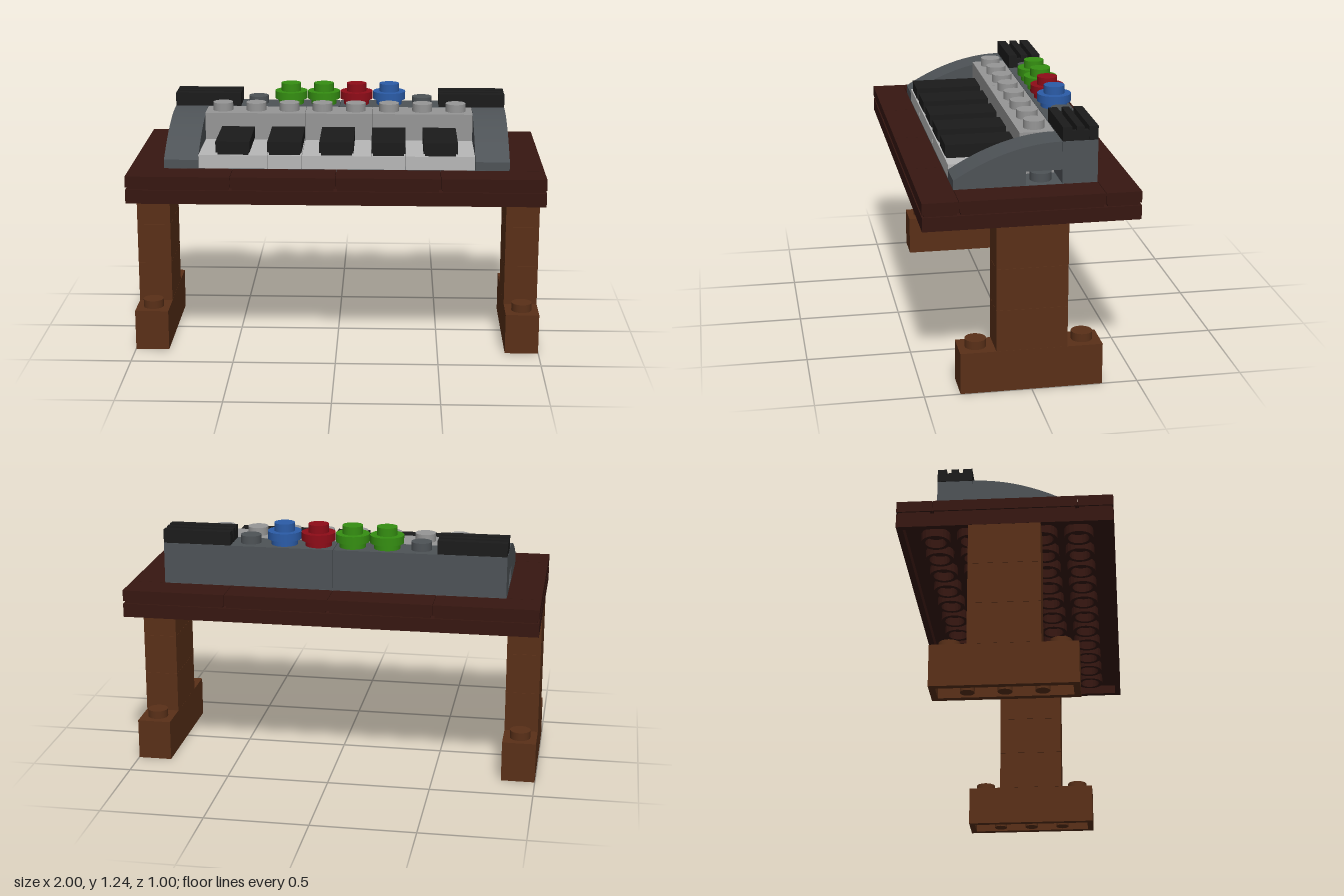
import * as THREE from 'three';

const U = 1 / 6;      // stud pitch
const P = 1 / 15;     // plate height
const B = 0.2;        // brick height
const GAP = 0.002;    // hairline seam between pieces
const DECK = 0.8;     // underside of the table top
const TOP = DECK + 2 * P;

const mat = (color) => new THREE.MeshStandardMaterial({ color, roughness: 0.6 });
const MAT = {
  brown: mat(0x5a3018), darkBrown: mat(0x371711), darkGrey: mat(0x4e5357), grey: mat(0x969696),
  lightGrey: mat(0xb8b8b8), black: mat(0x1b1b1b), green: mat(0x358f12), red: mat(0x8f0c18), blue: mat(0x2b5ca8),
};

const studGeo = new THREE.CylinderGeometry(0.05, 0.05, 0.04, 24);

function add(parent, name, geo, material, x = 0, y = 0, z = 0) {
  const m = new THREE.Mesh(geo, material);
  m.name = name;
  m.position.set(x, y, z);
  parent.add(m);
  return m;
}

// Block given by its x, y and z ranges
function block(parent, name, material, [x0, x1], [y0, y1], [z0, z1]) {
  return add(parent, name, new THREE.BoxGeometry(x1 - x0 - GAP, y1 - y0 - GAP / 2, z1 - z0 - GAP),
    material, (x0 + x1) / 2, (y0 + y1) / 2, (z0 + z1) / 2);
}

// Flat tile with a thin groove round its foot
function tile(parent, name, material, xr, y, zr) {
  const g = new THREE.Group();
  g.name = name;
  const i = 0.008;
  block(g, 'foot', material, [xr[0] + i, xr[1] - i], [y, y + 0.014], [zr[0] + i, zr[1] - i]);
  block(g, 'slab', material, xr, [y + 0.013, y + P], zr);
  parent.add(g);
}

const stud = (parent, material, x, y, z) => add(parent, 'stud', studGeo, material, x, y + 0.02, z);

function rect(w, d) {
  return [[-w, -d], [w, -d], [w, d], [-w, d]].map(([x, y]) => new THREE.Vector2(x / 2, y / 2));
}

function upright(shape, height) {
  return new THREE.ExtrudeGeometry(shape, { depth: height, bevelEnabled: false, curveSegments: 10 }).rotateX(-Math.PI / 2);
}

// Open-bottomed piece: four walls and a roof
function hollow(parent, name, material, w, h, d, wall, roof, x, y) {
  const s = new THREE.Shape(rect(w - GAP, d - GAP));
  s.holes.push(new THREE.Path(rect(w - 2 * wall, d - 2 * wall)));
  add(parent, name + 'Walls', upright(s, h - roof), material, x, y, 0);
  add(parent, name + 'Roof', new THREE.BoxGeometry(w - GAP, roof, d - GAP), material, x, y + h - roof / 2, 0);
}

function buildLeg(side) {
  const g = new THREE.Group();
  g.name = side > 0 ? 'leftLeg' : 'rightLeg';
  const x = side * 5.5 * U;
  hollow(g, 'foot', MAT.brown, U, B, 4 * U, 0.03, 0.03, x, 0);
  for (const k of [-1, 0, 1])
    add(g, 'footPin', new THREE.CylinderGeometry(0.033, 0.033, B - 0.03, 16), MAT.brown, x, (B - 0.03) / 2, k * U);
  for (const k of [-1, 1]) stud(g, MAT.brown, x, B, k * 1.5 * U);
  for (let i = 1; i < 4; i++)
    block(g, 'column', MAT.brown, [x - U / 2, x + U / 2], [i * B, (i + 1) * B], [-U, U]);
  return g;
}

function buildTable() {
  const g = new THREE.Group();
  g.name = 'tableTop';
  hollow(g, 'deck', MAT.darkBrown, 2, P, 1, 0.03, 0.02, 0, DECK);
  // Tubes under the deck
  const ring = new THREE.Shape().absarc(0, 0, 0.068, 0, Math.PI * 2);
  ring.holes.push(new THREE.Path().absarc(0, 0, 0.05, 0, Math.PI * 2, true));
  const ringGeo = upright(ring, P - 0.02);
  for (let i = -5; i <= 5; i++)
    for (let j = -2; j <= 2; j++) add(g, 'deckTube', ringGeo, MAT.darkBrown, i * U, DECK + 0.003, j * U);
  // Border tiles
  for (const s of [-1, 1]) {
    const zr = s > 0 ? [2 * U, 3 * U] : [-3 * U, -2 * U];
    for (let i = 0; i < 4; i++) tile(g, 'longEdgeTile', MAT.darkBrown, [-1 + i / 2, -0.5 + i / 2], DECK + P, zr);
    tile(g, 'endEdgeTile', MAT.darkBrown, s > 0 ? [5 * U, 1] : [-1, -5 * U], DECK + P, [-2 * U, 2 * U]);
  }
  return g;
}

// Curved end cheek with a notch under its back
function buildCheek(side) {
  const g = new THREE.Group();
  g.name = side > 0 ? 'leftCheek' : 'rightCheek';
  const s = new THREE.Shape();
  s.moveTo(-2 * U, TOP);
  s.lineTo(0, TOP);
  s.lineTo(0, TOP + P);
  s.lineTo(U, TOP + P);
  s.lineTo(U, TOP + B);
  s.quadraticCurveTo(-0.08, TOP + B, -2 * U, TOP + 0.042);
  const geo = new THREE.ExtrudeGeometry(s, { depth: U - GAP, bevelEnabled: false, curveSegments: 20 });
  geo.rotateY(Math.PI / 2);
  add(g, 'curve', geo, MAT.darkGrey, side * 4.5 * U - U / 2 + GAP / 2, 0, 0);
  stud(g, MAT.darkGrey, side * 4.5 * U, TOP, -U / 2);
  return g;
}

// Slotted black vent
function buildGrille(side) {
  const g = new THREE.Group();
  g.name = side > 0 ? 'leftGrille' : 'rightGrille';
  const y = TOP + B, x = side * 4 * U, z = -1.5 * U;
  const xr = [x - U, x + U];
  for (const k of [-1, 0, 1]) {
    const half = k ? 0.0225 : 0.0185, c = z + k * 0.0608;
    block(g, 'slat', MAT.black, xr, [y, y + P], [c - half, c + half]);
  }
  for (const k of [-1, 1]) {
    const c = x + k * (U - 0.015);
    block(g, 'bridge', MAT.black, [c - 0.014, c + 0.014], [y, y + 0.047], [z - 0.08, z + 0.08]);
  }
  return g;
}

// Round knob: narrow foot, wide flange, stud
function buildKnob(name, material, x) {
  const g = new THREE.Group();
  g.name = name;
  const y = TOP + B, z = -1.5 * U;
  add(g, 'foot', new THREE.CylinderGeometry(0.064, 0.064, 0.03, 24), material, x, y + 0.015, z);
  add(g, 'flange', new THREE.CylinderGeometry(0.082, 0.082, P - 0.028, 28), material, x, y + (P + 0.028) / 2, z);
  stud(g, material, x, y + P, z);
  return g;
}

function buildKeyboard() {
  const g = new THREE.Group();
  g.name = 'keyboard';
  block(g, 'basePlate', MAT.darkGrey, [-5 * U, 5 * U], [DECK + P, TOP], [-2 * U, 2 * U]);
  // Back wall
  for (const x of [-5 * U, 0]) block(g, 'backWall', MAT.darkGrey, [x, x + 5 * U], [TOP, TOP + B], [-2 * U, -U]);
  for (const s of [-1, 1]) {
    stud(g, MAT.darkGrey, s * 2.5 * U, TOP + B, -1.5 * U);
    g.add(buildCheek(s), buildGrille(s));
  }
  // Studded panel behind the keys
  for (const [a, b] of [[-4, -1], [-1, 1], [1, 4]])
    block(g, 'panel', MAT.grey, [a * U, b * U], [TOP, TOP + B], [-U, 0]);
  for (let i = -4; i < 4; i++) stud(g, MAT.grey, (i + 0.5) * U, TOP + B, -U / 2);
  // Pale keys, then raised black keys
  for (const [a, b] of [[-4, -2], [-2, -1], [-1, 1], [1, 2], [2, 4]])
    block(g, 'paleKeys', MAT.lightGrey, [a * U, b * U], [TOP, TOP + P], [0, 2 * U]);
  for (let i = -2; i <= 2; i++)
    tile(g, 'blackKey', MAT.black, [i / 4 - U / 2, i / 4 + U / 2], TOP + P, [0, 2 * U]);
  // Coloured knobs
  ['green', 'green', 'red', 'blue'].forEach((c, i) => g.add(buildKnob(c + 'Knob', MAT[c], (i - 1.5) * U)));
  return g;
}

export function createModel() {
  const model = new THREE.Group();
  model.name = 'keyboardOnTable';
  model.add(buildLeg(-1), buildLeg(1), buildTable(), buildKeyboard());
  return model;
}
